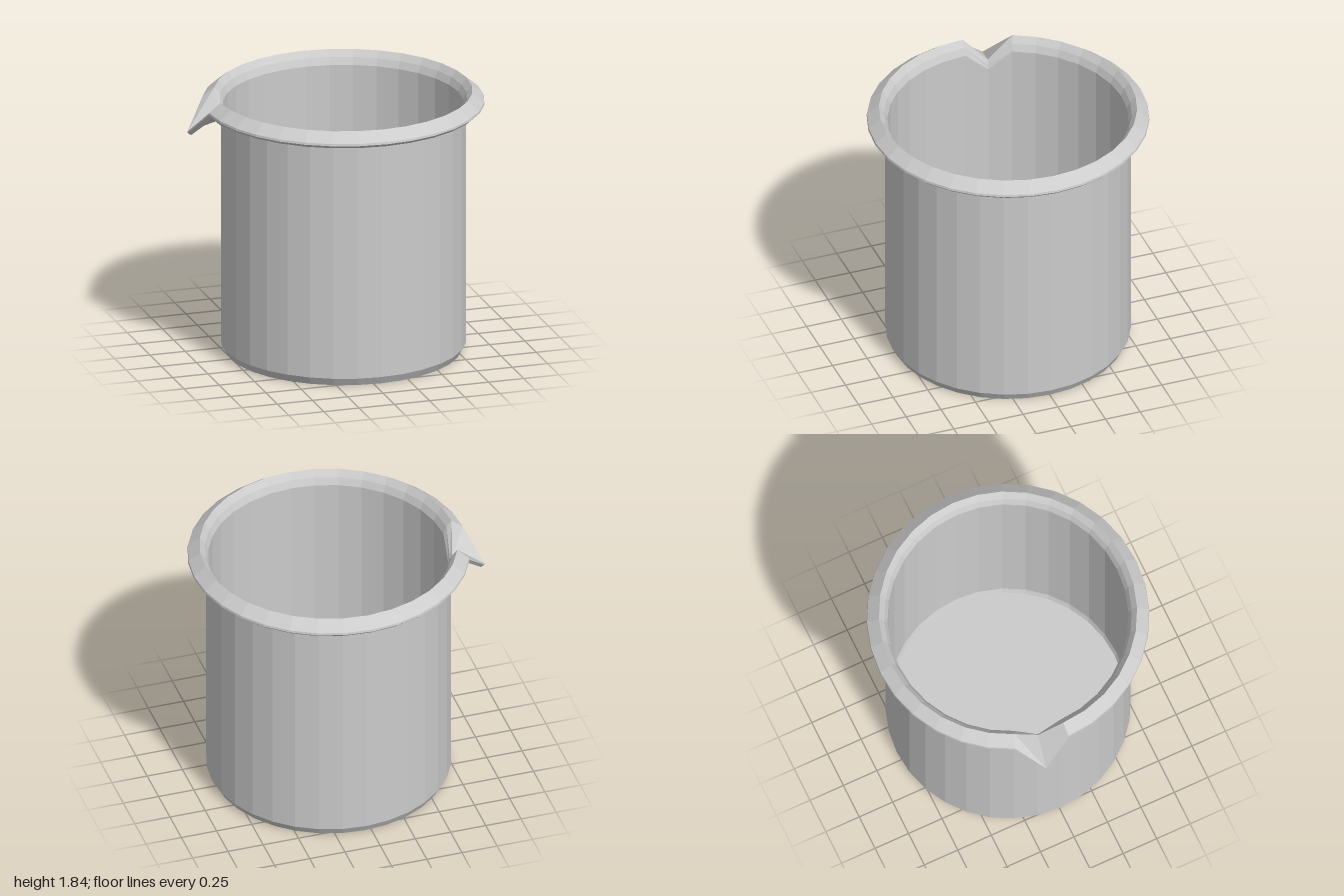
import * as THREE from 'three';

const SIDES = 32;
const SPOUT_COLUMN = 23; // the column of vertices pulled out into the spout

// Closed profile [radius, y], with an optional [radius, y] for the spout column
const PROFILE = [
  [[0, 0]],
  [[0.80, 0]],
  [[0.83, 0.055]],
  [[0.83, 1.74], [0.83, 1.61]],    // top of outer wall
  [[0.865, 1.765], [0.87, 1.645]], // groove under the rim
  [[0.91, 1.735], [0.99, 1.605]],
  [[0.935, 1.735], [1.035, 1.555]],
  [[0.956, 1.755], [1.06, 1.57]],  // rim edge and spout tip
  [[0.953, 1.77], [1.06, 1.582]],
  [[0.873, 1.835], [0.84, 1.665]], // crest of rim
  [[0.837, 1.79], [0.825, 1.635]],
  [[0.815, 1.74], [0.815, 1.60]],  // top of inner wall
  [[0.815, 0.08]],
  [[0.80, 0.04]],
  [[0, 0.04]],
];

export function createModel() {
  const group = new THREE.Group();
  group.name = 'beaker';

  // Thick-walled body with rolled rim
  const lathe = new THREE.LatheGeometry(
    PROFILE.map(([p]) => new THREE.Vector2(p[0], p[1])), SIDES);

  // Pull one column of the rim outward and down to make the spout
  const pos = lathe.attributes.position;
  const angle = (SPOUT_COLUMN / SIDES) * Math.PI * 2;
  PROFILE.forEach(([, spout], j) => {
    if (!spout) return;
    const [r, y] = spout;
    pos.setXYZ(SPOUT_COLUMN * PROFILE.length + j, r * Math.sin(angle), y, r * Math.cos(angle));
  });

  const geometry = lathe.toNonIndexed();
  geometry.computeVertexNormals();
  const body = new THREE.Mesh(geometry,
    new THREE.MeshStandardMaterial({ color: 0xcccccc, flatShading: true }));
  body.name = 'bodyWithRimAndSpout';
  body.position.x = 0.043; // the spout shifts the overall centre
  group.add(body);
  return group;
}
